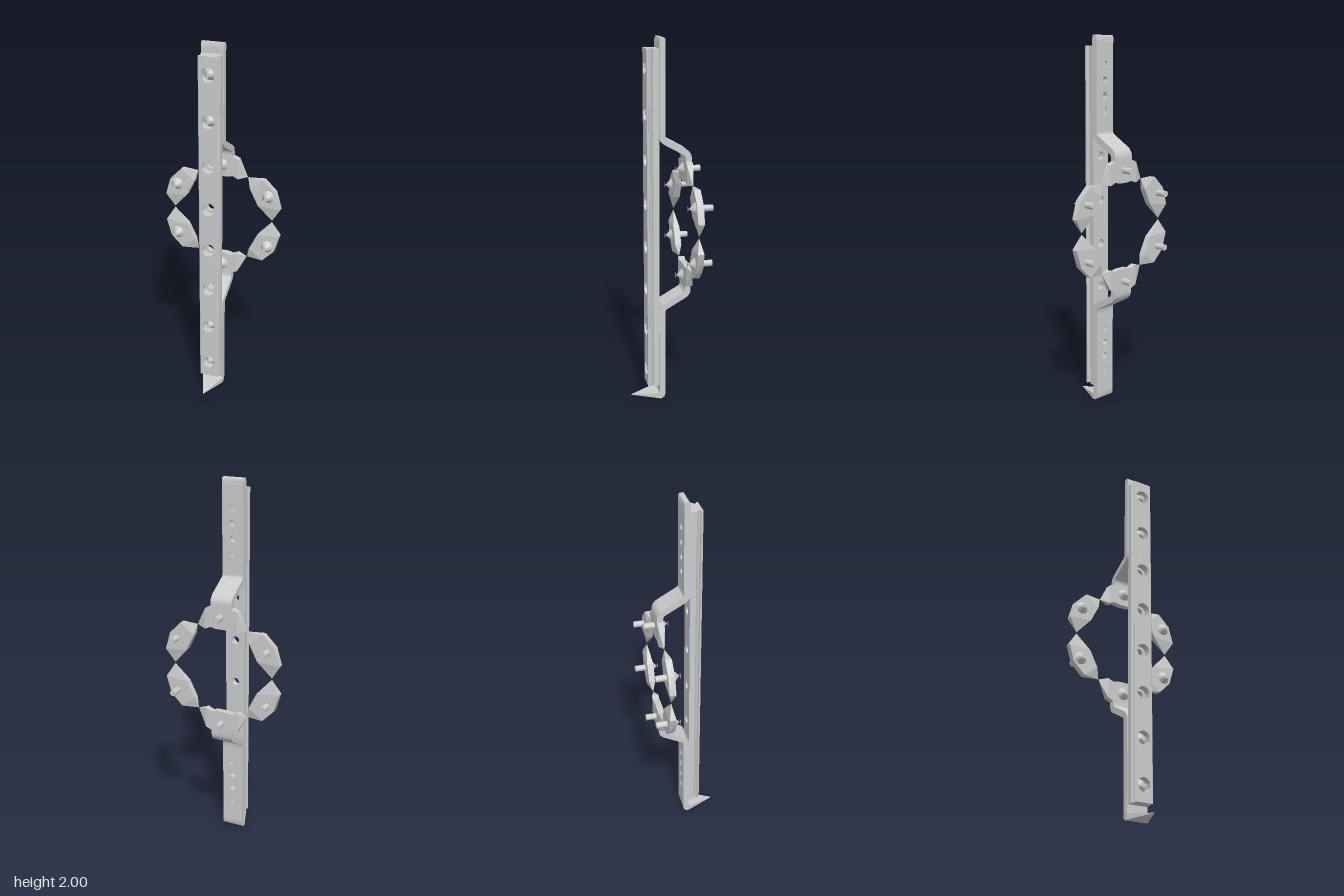
import * as THREE from 'three';
import { toCreasedNormals, mergeGeometries } from 'three/addons/utils/BufferGeometryUtils.js';
import { ConvexGeometry } from 'three/addons/geometries/ConvexGeometry.js';

const MID = 1.011;                       // height of the mirror line
const BACK = 0.003, FRONT = 0.035;       // faces of the mounting straps
const PLATE_BACK = -0.14, PLATE_FRONT = -0.105;
const HALF = 0.06;

const grey = new THREE.MeshStandardMaterial({ color: 0xcccccc, side: THREE.DoubleSide });
const V2 = (x, y) => new THREE.Vector2(x, y);
const V3 = (x, y, z) => new THREE.Vector3(x, y, z);

function add(parent, name, geometry) {
  const mesh = new THREE.Mesh(geometry, grey);
  mesh.name = name;
  parent.add(mesh);
  return mesh;
}

// flat outline in x/y with round holes on the centre line
function outline(points, holeYs = [], r = 0) {
  const shape = new THREE.Shape(points);
  for (const y of holeYs) {
    const hole = new THREE.Path();
    hole.absarc(0, y, r, 0, Math.PI * 2, true);
    shape.holes.push(hole);
  }
  return shape;
}
const rect = (w, y0, y1) => [V2(-w, y0), V2(w, y0), V2(w, y1), V2(-w, y1)];

function slab(shape, z0, z1) {
  const g = new THREE.ExtrudeGeometry(shape, { depth: z1 - z0, bevelEnabled: false, curveSegments: 10 });
  return toCreasedNormals(g.translate(0, 0, z0), 0.7);
}

// side profile given as (z, y), extruded across the strap width
function across(points) {
  const g = new THREE.ExtrudeGeometry(new THREE.Shape(points), { depth: HALF * 2, bevelEnabled: false });
  return toCreasedNormals(g.rotateY(-Math.PI / 2).translate(HALF, 0, 0), 0.5);
}

// link plate: thick core whose chosen edges taper to points
function linkPlate(parent, name, core, tapers) {
  const plate = new THREE.Group();
  plate.name = name;
  parent.add(plate);
  add(plate, 'plateCore', slab(outline(core), PLATE_BACK, PLATE_FRONT));
  for (const [a, b, tip] of tapers) {
    const corners = [a, b].flatMap(p => [V3(p.x, p.y, PLATE_BACK), V3(p.x, p.y, PLATE_FRONT)]);
    add(plate, 'plateTip', new ConvexGeometry([...corners, V3(tip.x, tip.y, (PLATE_BACK + PLATE_FRONT) / 2)]));
  }
}

// pin: round shaft, pointed head and a small facet floating at its tip
function pin(parent, x, y, seat, back) {
  const g = new THREE.Group();
  g.name = 'pin';
  g.position.set(x, y, seat);
  parent.add(g);
  const len = seat - back;
  add(g, 'pinShaft', new THREE.CylinderGeometry(0.017, 0.017, len, 20)
    .rotateX(Math.PI / 2).translate(0, 0, -len / 2));
  add(g, 'pinHead', new THREE.ConeGeometry(0.034, 0.033, 20)
    .rotateX(Math.PI / 2).translate(0, 0, 0.0165));
  add(g, 'pinFacet', new THREE.CircleGeometry(0.021, 3).translate(0, 0, 0.037));
}

function buildRail(parent) {
  const rail = new THREE.Group();
  rail.name = 'rail';
  parent.add(rail);
  const y0 = 0.08, y1 = 1.945, z1 = 0.1;
  const holes = Array.from({ length: 8 }, (_, i) => 0.17 + i * 0.2403);

  // grooved cross-section, (x, z)
  const half = [V2(0.055, FRONT), V2(0.053, 0.067), V2(0.043, 0.073), V2(0.037, 0.08),
    V2(0.043, 0.087), V2(0.054, 0.09), V2(0.054, 0.096), V2(0.05, z1)];
  const pos = [];
  for (const s of [1, -1]) {
    for (let i = 0; i < half.length - 1; i++) {
      const [a, b] = s > 0 ? [half[i], half[i + 1]] : [half[i + 1], half[i]];
      const A = [a.x * s, y0, a.y], B = [b.x * s, y0, b.y];
      const C = [b.x * s, y1, b.y], D = [a.x * s, y1, a.y];
      pos.push(...A, ...D, ...C, ...A, ...C, ...B);
    }
  }
  const sides = new THREE.BufferGeometry();
  sides.setAttribute('position', new THREE.Float32BufferAttribute(pos, 3));
  sides.computeVertexNormals();
  add(rail, 'railSides', sides);

  const section = new THREE.Shape([...half, ...half.slice().reverse().map(p => V2(-p.x, p.y))]);
  add(rail, 'railEnds', mergeGeometries([
    new THREE.ShapeGeometry(section).rotateX(Math.PI / 2).translate(0, y0, 0),
    new THREE.ShapeGeometry(section).scale(1, -1, 1).rotateX(-Math.PI / 2).translate(0, y1, 0),
  ]));
  add(rail, 'railFront', new THREE.ShapeGeometry(outline(rect(0.05, y0, y1), holes, 0.037), 12).translate(0, 0, z1));
  add(rail, 'railBack', new THREE.ShapeGeometry(outline(rect(0.055, y0, y1), holes, 0.022), 12).translate(0, 0, FRONT));

  // counterbored hole walls, screws in the outer four
  const bore = [V2(0.022, FRONT), V2(0.022, 0.06), V2(0.037, 0.06), V2(0.037, z1)];
  holes.forEach((y, i) => {
    const g = toCreasedNormals(new THREE.LatheGeometry(bore, 24).rotateX(Math.PI / 2), 0.6);
    add(rail, 'counterbore', g).position.y = y;
    if (i < 2 || i > 5) pin(rail, 0, y, 0.06, 0.012);
  });
}

// strap with a stepped bend, and the centre link plate; s = -1 mirrors it to the lower half
function buildStrap(parent, s) {
  const Y = y => (s > 0 ? y : 2 * MID - y);
  const strap = new THREE.Group();
  strap.name = s > 0 ? 'upperStrap' : 'lowerStrap';
  parent.add(strap);
  const end = s > 0 ? 1.96 : 2 * MID - 0.05;
  const ys = [1.85, 1.77, 1.69, 1.61].map(Y);
  add(strap, 'strapFlat', slab(outline(rect(HALF, Math.min(Y(1.52), Y(end)), Math.max(Y(1.52), Y(end))), ys, 0.017), BACK, FRONT));

  // stepped bend: thickened centre line with rounded corners, (z, y)
  const c = [V2(0.019, 1.52), V2(0.019, 1.5), V2(0.019, 1.478), V2(0.0, 1.468),
    V2(-0.1, 1.412), V2(-0.1225, 1.4), V2(-0.1225, 1.375), V2(-0.1225, 1.33)];
  const path = new THREE.CurvePath();
  path.add(new THREE.LineCurve(c[0], c[1]));
  path.add(new THREE.QuadraticBezierCurve(c[1], c[2], c[3]));
  path.add(new THREE.LineCurve(c[3], c[4]));
  path.add(new THREE.QuadraticBezierCurve(c[4], c[5], c[6]));
  path.add(new THREE.LineCurve(c[6], c[7]));
  const line = path.getPoints(6);
  const side = d => line.map((p, i) => {
    const t = line[Math.min(i + 1, line.length - 1)].clone().sub(line[Math.max(i - 1, 0)]).normalize();
    return V2(p.x - t.y * d, Y(p.y + t.x * d));
  });
  add(strap, 'strapBend', across([...side(0.0165), ...side(-0.0165).reverse()]));

  // centre link plate with a shallow arch below
  const P = (x, y) => V2(x, Y(y));
  const right = [[0.06, 1.36], [0.092, 1.347], [0.092, 1.236], [0.06, 1.25], [0.03, 1.243]];
  const core = [...right.map(([x, y]) => P(x, y)), ...right.slice().reverse().map(([x, y]) => P(-x, y))];
  linkPlate(strap, 'centreLink', core, [1, -1].map(m => [P(m * 0.092, 1.347), P(m * 0.092, 1.236), P(m * 0.143, 1.25)]));
  pin(strap, 0, Y(1.31), PLATE_FRONT, -0.198);

  // outer link plates to either side
  for (const m of [1, -1]) {
    const Q = (x, y) => V2(m * x, Y(y));
    const [a, b, d, e, f] = [Q(0.237, 1.25), Q(0.302, 1.185), Q(0.33, 1.09), Q(0.205, 1.1), Q(0.16, 1.19)];
    linkPlate(strap, m > 0 ? 'leftLink' : 'rightLink', [a, b, d, e, f],
      [[a, f, Q(0.143, 1.25)], [d, e, Q(0.283, 1.014)]]);
    pin(strap, m * 0.262, Y(1.16), PLATE_FRONT, -0.198);
  }
}

export function createModel() {
  const model = new THREE.Group();
  model.name = 'railAssembly';
  buildRail(model);
  buildStrap(model, 1);
  buildStrap(model, -1);

  // rounded top end of the upper strap
  add(model, 'strapTop', across([V2(BACK, 1.96), V2(FRONT, 1.96), V2(FRONT, 1.982),
    V2(0.03, 2), V2(0.012, 2), V2(0.006, 1.996), V2(BACK, 1.988)]));

  // curled foot and pointed toe of the lower strap
  add(model, 'strapFoot', across([V2(BACK, 0.05), V2(BACK, 0.028), V2(0.008, 0.012), V2(0.018, 0.003),
    V2(0.03, 0), V2(0.04, 0.002), V2(0.04, 0.034), V2(FRONT, 0.04), V2(FRONT, 0.05)]));
  add(model, 'toe', new ConvexGeometry([
    V3(-HALF, 0.002, 0.04), V3(HALF, 0.002, 0.04), V3(-HALF, 0.034, 0.04), V3(HALF, 0.034, 0.04), V3(0, 0.012, 0.193)]));
  return model;
}
